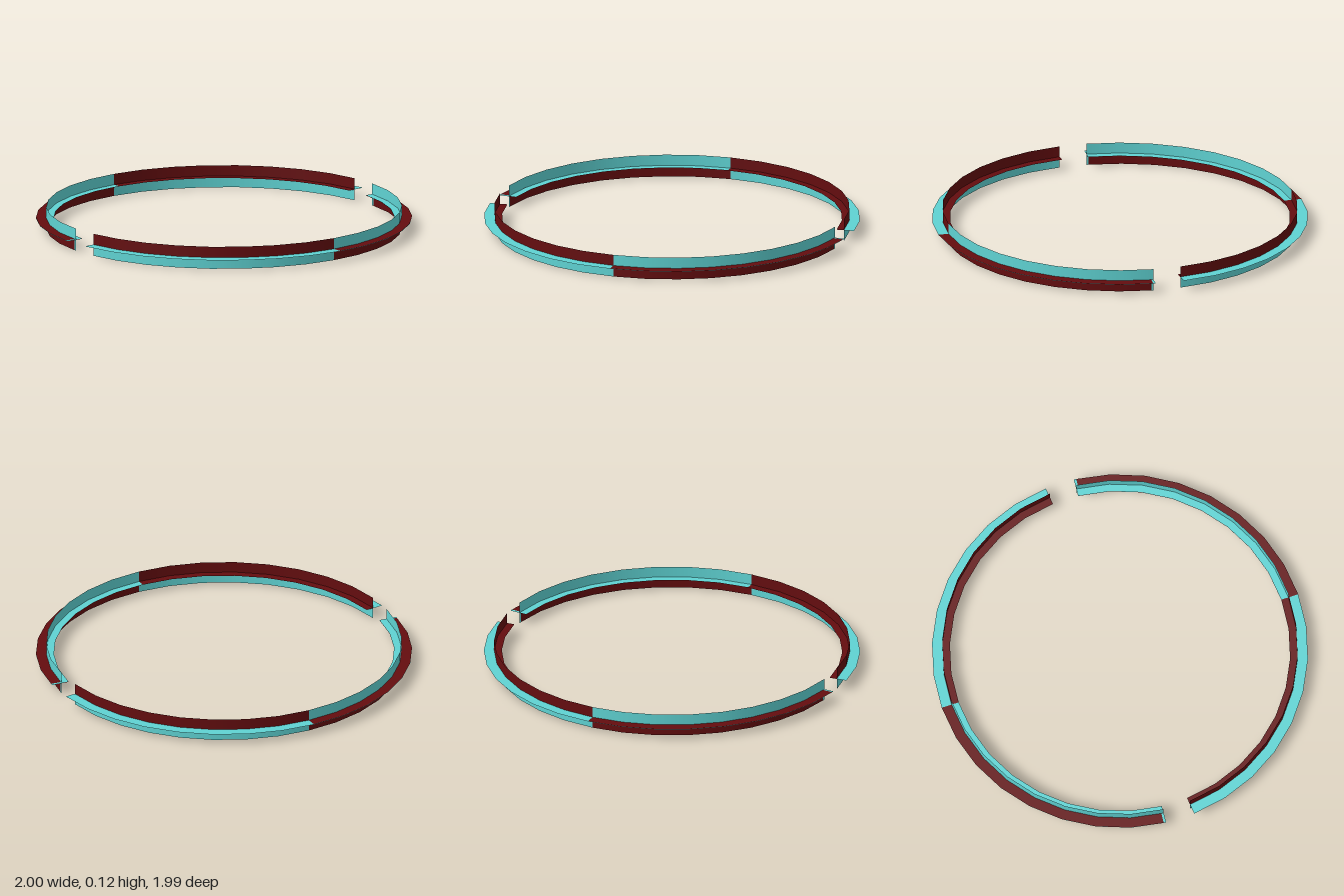
import * as THREE from 'three';

const INNER = 0.905, WALL = 0.945, OUTER = 1, HEIGHT = 0.12, MID = HEIGHT / 2;
const GAP = 4.5, MARGIN = 0.75, SEGMENTS = 8;
const rad = THREE.MathUtils.degToRad;

const mats = {};
function material(name, color) {
  const m = new THREE.MeshStandardMaterial({ color });
  m.name = name;
  const two = m;
  two.side = THREE.DoubleSide;
  return m;
}

// Curved upright strip; angles in degrees, from +z towards +x
function wallStrip(name, mat, y0, a0, a1, segs = SEGMENTS) {
  const g = new THREE.CylinderGeometry(WALL, WALL, MID, segs, 1, true, rad(a0), rad(a1 - a0));
  const mesh = new THREE.Mesh(g, mat);
  mesh.position.y = y0 + MID / 2;
  mesh.name = name;
  return mesh;
}

// Flat ring strip facing up or down, a hair off the middle plane
function flangeStrip(name, mat, r0, r1, up, a0, a1, segs = SEGMENTS) {
  const start = up ? a0 - 90 : 90 - a1;
  const g = new THREE.RingGeometry(r0, r1, segs, 1, rad(start), rad(a1 - a0));
  g.rotateX(up ? -Math.PI / 2 : Math.PI / 2);
  const mesh = new THREE.Mesh(g, mat);
  mesh.position.y = MID + (up ? 0.001 : -0.001);
  mesh.name = name;
  return mesh;
}

// Quarter with the dark band on the upper wall and inner flange
function darkTopQuarter(a0, a1) {
  const q = new THREE.Group();
  q.add(
    wallStrip('upperWall', mats.dark, MID, a0, a1),
    wallStrip('lowerWall', mats.teal, 0, a0, a1),
    flangeStrip('innerFlangeTop', mats.dark, INNER, WALL, true, a0, a1),
    flangeStrip('outerFlangeTop', mats.teal, WALL, OUTER, true, a0, a1)
  );
  return q;
}

// Quarter with the dark band on the lower wall and outer flange, teal tip at the gap
function darkBottomQuarter(a0, a1) {
  const q = new THREE.Group(), tip = a1 - MARGIN;
  q.add(
    wallStrip('upperWall', mats.teal, MID, a0, a1),
    wallStrip('lowerWall', mats.dark, 0, a0, tip),
    wallStrip('lowerWallTip', mats.teal, 0, tip, a1, 1),
    flangeStrip('innerFlangeTop', mats.teal, INNER, WALL, true, a0, a1),
    flangeStrip('outerFlangeTop', mats.dark, WALL, OUTER, true, a0, tip),
    flangeStrip('outerFlangeTip', mats.teal, WALL, OUTER, true, tip, a1, 1)
  );
  return q;
}

export function createModel() {
  mats.teal = material('teal', 0x5fd3d3);
  mats.dark = material('darkRed', 0x640d0f);
  const model = new THREE.Group();
  model.name = 'splitRing';

  // Two identical halves, each made of two quarters
  ['front', 'back'].forEach((side, i) => {
    const half = i * 180;
    const parts = [
      [darkTopQuarter, half + GAP, half + 90, side + 'DarkTopQuarter'],
      [darkBottomQuarter, half + 90, half + 180 - GAP, side + 'DarkBottomQuarter'],
    ];
    for (const [build, a0, a1, name] of parts) {
      const q = build(a0, a1);
      q.name = name;
      // Underside of the flange
      q.add(
        flangeStrip('innerFlangeUnderside', mats.dark, INNER, WALL, false, a0, a1),
        flangeStrip('outerFlangeUnderside', mats.teal, WALL, OUTER, false, a0, a1)
      );
      model.add(q);
    }
  });
  return model;
}
